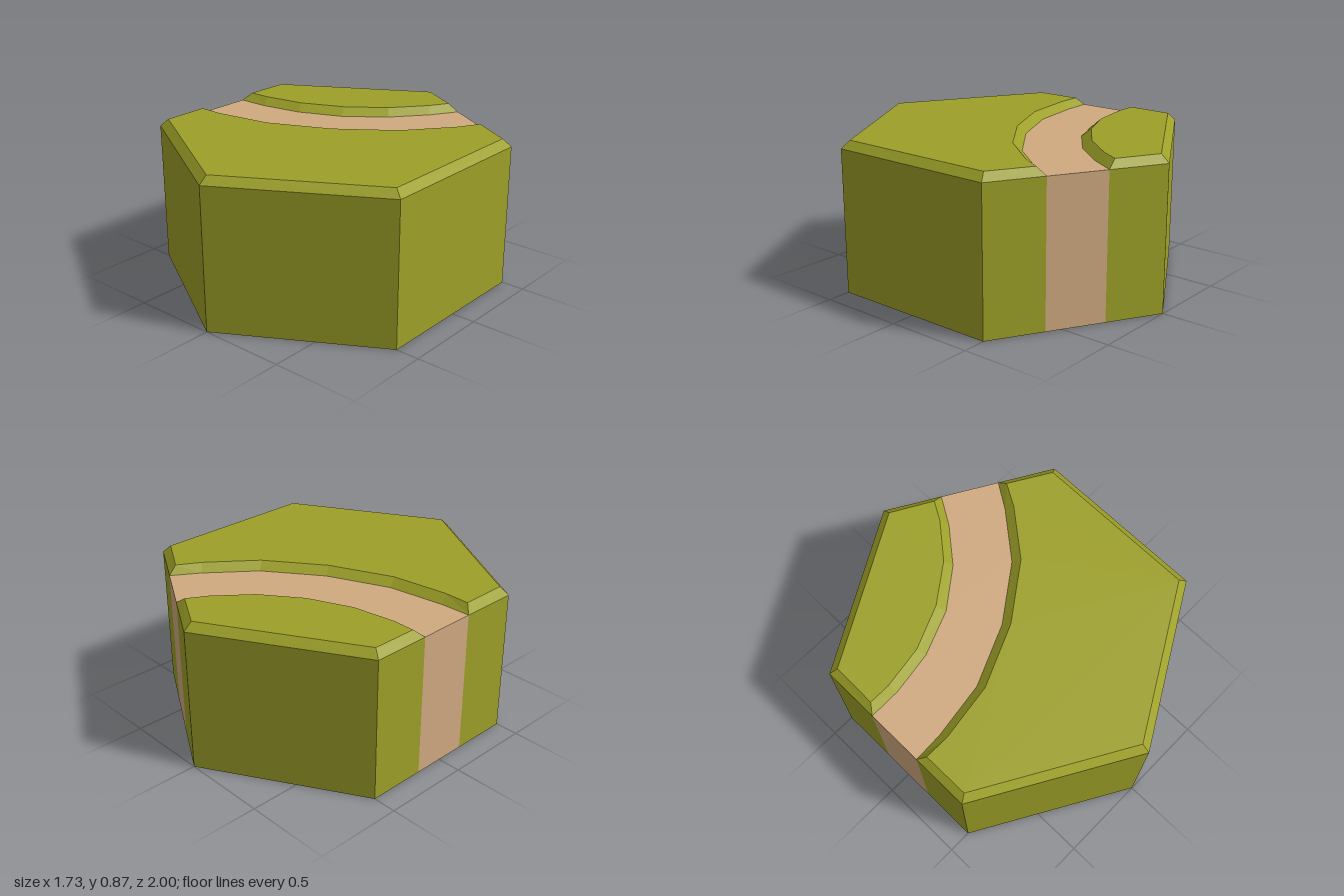
import * as THREE from 'three';

const RIM = 0.823, TOP = 0.866, H = Math.sqrt(3) / 2;
const CENTRE = [-H, -1.5]; // centre of the curved path

// Mirrored arc of [degrees, radius] pairs, running from the -x side to the back side
function arc(half) {
  const all = [...half, ...half.slice(0, -1).reverse().map(([a, r]) => [60 - a, r])];
  return all.map(([a, r]) => {
    const t = THREE.MathUtils.degToRad(a);
    return [CENTRE[0] + r * Math.sin(t), CENTRE[1] + r * Math.cos(t)];
  });
}

// Hexagon corner, clockwise from the back when seen from above
function corner(i, r = 1) {
  const t = i * Math.PI / 3;
  return [r * Math.sin(t), -r * Math.cos(t)];
}

// Outward strip between a lower and an upper clockwise outline
function strip(lower, yLow, upper, yHigh, closed) {
  const pos = [];
  const n = lower.length;
  for (let i = 0; i < (closed ? n : n - 1); i++) {
    const j = (i + 1) % n;
    const a = [lower[i][0], yLow, lower[i][1]], b = [lower[j][0], yLow, lower[j][1]];
    const A = [upper[i][0], yHigh, upper[i][1]], B = [upper[j][0], yHigh, upper[j][1]];
    pos.push(...a, ...A, ...B, ...a, ...B, ...b);
  }
  const g = new THREE.BufferGeometry();
  g.setAttribute('position', new THREE.Float32BufferAttribute(pos, 3));
  g.computeVertexNormals();
  return g;
}

// Flat face from an outline, facing up
function cap(points, y) {
  const shape = new THREE.Shape(points.map(([x, z]) => new THREE.Vector2(x, -z)));
  return new THREE.ShapeGeometry(shape).rotateX(-Math.PI / 2).translate(0, y, 0);
}

export function createModel() {
  const grass = new THREE.MeshStandardMaterial({ color: 0x9da028 });
  const dirt = new THREE.MeshStandardMaterial({ color: 0xd0aa80 });
  grass.name = 'grass green';
  dirt.name = 'dirt tan';
  const model = new THREE.Group();
  model.name = 'hexTile';
  const add = (name, geometry, material, parent = model) => {
    const mesh = new THREE.Mesh(geometry, material);
    mesh.name = name;
    parent.add(mesh);
  };

  // Path edges at rim height, and the bevelled grass edges above them
  const outerLow = arc([[0, 1.667], [6, 1.668], [17.2, 1.684], [30, 1.683]]);
  const outerTop = arc([[1.4, 1.7055], [6.4, 1.7156], [17.3, 1.7336], [30, 1.732]]);
  const innerLow = arc([[0, 1.333], [8, 1.343], [18.5, 1.36], [30, 1.369]]);
  const innerTop = arc([[1.8, 1.286], [7.4, 1.296], [18.3, 1.311], [30, 1.315]]);

  // Two raised grass areas, each with side walls, a bevel and a flat top
  const areas = [
    ['frontGrass', outerLow, outerTop, [1, 2, 3, 4]],
    ['backGrass', innerLow.slice().reverse(), innerTop.slice().reverse(), [5, 0]],
  ];
  for (const [name, low, top, corners] of areas) {
    const group = new THREE.Group();
    group.name = name;
    model.add(group);
    const lower = [...low, ...corners.map(i => corner(i))];
    const upper = [...top, ...corners.map(i => corner(i, 0.95))];
    const wall = [low[low.length - 1], ...corners.map(i => corner(i)), low[0]];
    add(name + 'Walls', strip(wall, 0, wall, RIM, false), grass, group);
    add(name + 'Bevel', strip(lower, RIM, upper, TOP, true), grass, group);
    add(name + 'Top', cap(upper, TOP), grass, group);
  }

  // Curved path with its two end walls
  add('pathTop', cap([...outerLow, ...innerLow.slice().reverse()], RIM), dirt);
  const last = outerLow.length - 1;
  const leftEnd = [outerLow[0], innerLow[0]];
  const backEnd = [innerLow[last], outerLow[last]];
  add('pathSideEnd', strip(leftEnd, 0, leftEnd, RIM, false), dirt);
  add('pathBackEnd', strip(backEnd, 0, backEnd, RIM, false), dirt);

  // Underside
  const hex = [0, 1, 2, 3, 4, 5].map(i => corner(i));
  add('underside', cap(hex, 0).rotateX(Math.PI), grass);
  return model;
}
